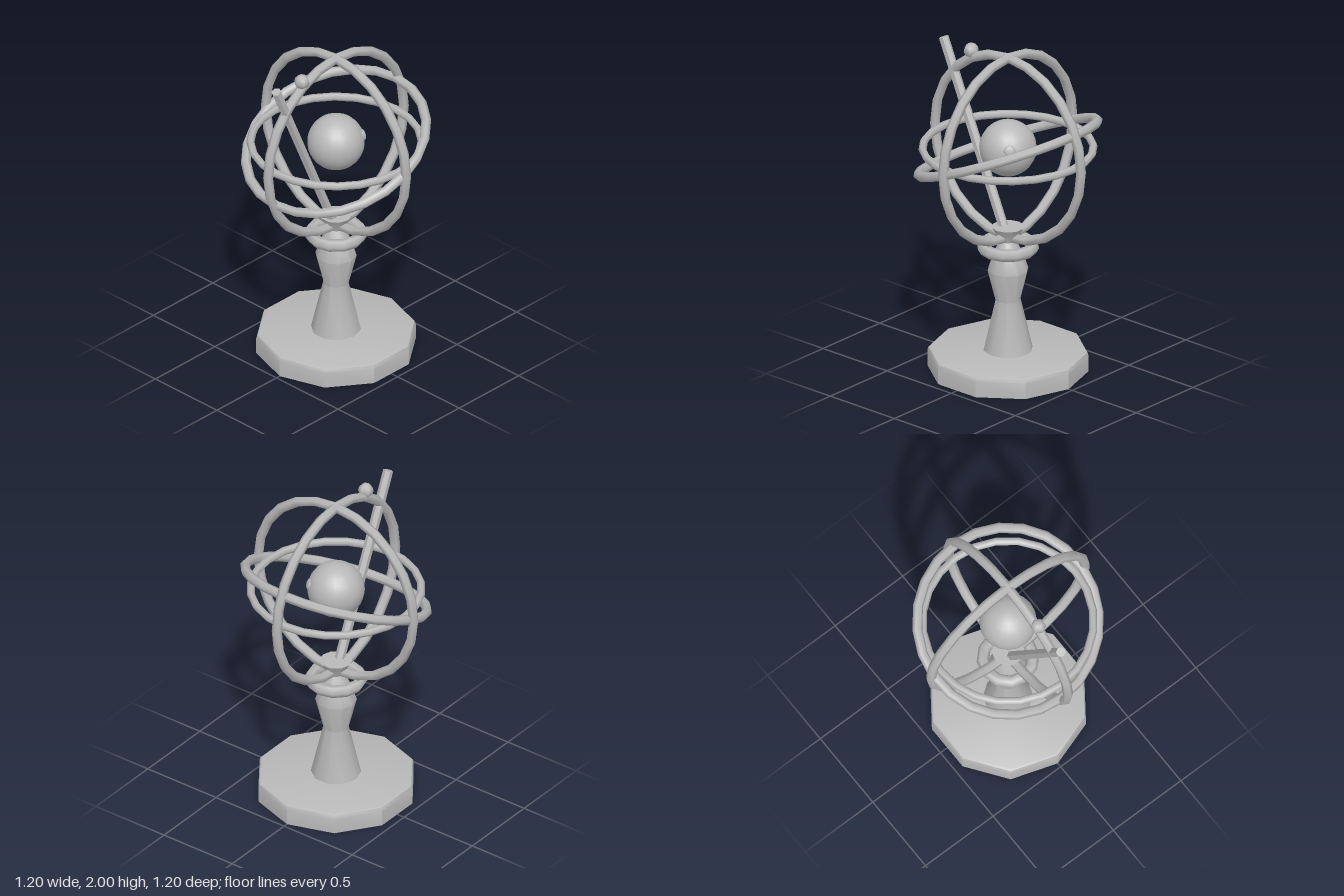
import * as THREE from 'three';
import { toCreasedNormals } from 'three/addons/utils/BufferGeometryUtils.js';

export function createModel() {
  const group = new THREE.Group();
  const stone = new THREE.MeshStandardMaterial({ color: 0xb8b8b8 });
  stone.name = 'paleGrey';
  const CENTER = 1.4, TILT = 0.4;

  const add = (name, geometry, x = 0, y = 0, z = 0) => {
    const mesh = new THREE.Mesh(geometry, stone);
    mesh.name = name;
    mesh.position.set(x, y, z);
    group.add(mesh);
    return mesh;
  };
  const lathe = (points, sides, crease) => toCreasedNormals(
    new THREE.LatheGeometry(points.map(([r, y]) => new THREE.Vector2(r, y)), sides), crease);

  // Ten-sided plinth with a softened top edge
  add('base', lathe([[0, 0], [0.473, 0], [0.473, 0.1], [0.466, 0.118], [0.45, 0.125], [0, 0.125]], 10, 0.6));

  // Waisted pillar, collar and flared cup
  add('pillar', lathe([[0.148, 0.12], [0.075, 0.44], [0.122, 0.63], [0.08, 0.75], [0.045, 0.81], [0, 0.81]], 10, 0.7))
    .rotation.y = Math.PI / 10;
  add('cup', lathe([[0, 0.79], [0.045, 0.79], [0.045, 0.81], [0.096, 0.9], [0, 0.9]], 10, 0.7))
    .rotation.y = Math.PI / 10;
  add('collar', new THREE.TorusGeometry(0.148, 0.037, 6, 12).rotateX(Math.PI / 2), 0, 0.775, 0);

  // Nested rings around the globe
  const ring = (name, radius, tube, rx, ry) =>
    add(name, new THREE.TorusGeometry(radius, tube, 6, 24), 0, CENTER, 0).rotation.set(rx, ry, 0);
  ring('frontMeridianRing', 0.57, 0.03, 0, 0);
  ring('sideMeridianRing', 0.57, 0.03, 0, Math.PI / 2);
  ring('horizonRing', 0.5, 0.024, Math.PI / 2, 0);
  ring('tiltedRing', 0.548, 0.03, Math.PI / 2 + TILT, 0);

  // Globe with a shallow bump
  add('globe', new THREE.SphereGeometry(0.169, 20, 14), 0, CENTER, 0);
  const direction = new THREE.Vector3(0.68, 0.27, -0.68).normalize();
  const bump = add('globeBump', new THREE.SphereGeometry(0.035, 8, 6).scale(1, 0.4, 1));
  bump.position.copy(direction).multiplyScalar(0.166).add(new THREE.Vector3(0, CENTER, 0));
  bump.quaternion.setFromUnitVectors(new THREE.Vector3(0, 1, 0), direction);

  // Slanted pointer rising from the cup
  add('pointerRod', toCreasedNormals(new THREE.CylinderGeometry(0.03, 0.03, 1.25, 6), 0.8), 0, 1.39, 0.253)
    .rotation.x = 0.41;

  // Small bead riding on the side ring
  add('bead', new THREE.SphereGeometry(0.046, 6, 6).rotateY(Math.PI / 2), 0, 1.937, 0.287);

  return group;
}
